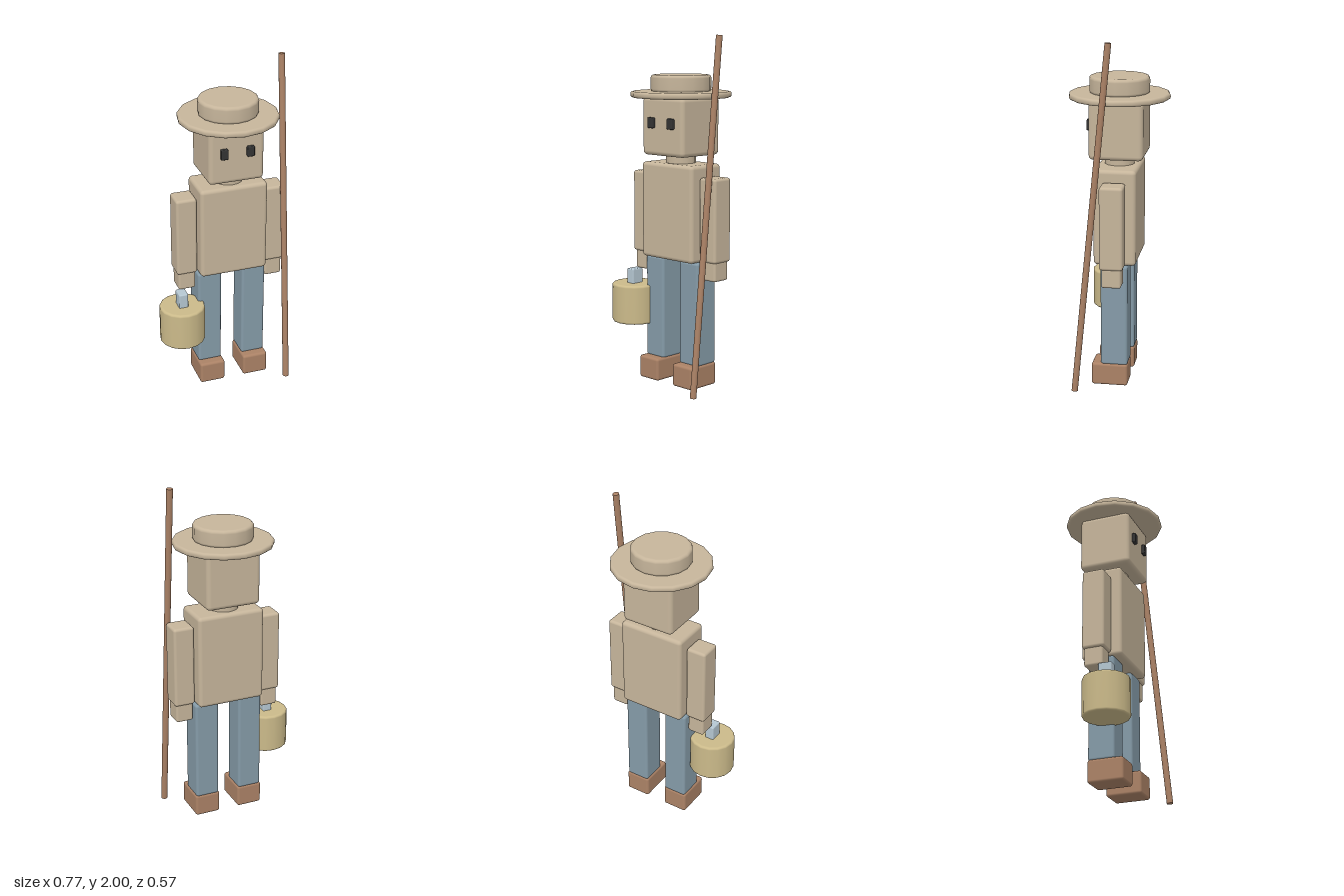
import * as THREE from 'three';
import { RoundedBoxGeometry } from 'three/addons/geometries/RoundedBoxGeometry.js';

const mat = (name, color) => new THREE.MeshStandardMaterial({ name, color });

export function createModel() {
  const tan = mat('tan', 0xc6b59b);
  const denim = mat('denim blue', 0x859ba8);
  const brown = mat('brown', 0xab8266);
  const straw = mat('straw yellow', 0xcbba8a);
  const steel = mat('pale steel', 0xb5c7d2);
  const dark = mat('dark', 0x333333);

  const model = new THREE.Group();
  model.name = 'farmer';
  const cx = 0.055; // body axis; the bucket and staff offset it from the middle

  const add = (name, geometry, material, x, y, z) => {
    const mesh = new THREE.Mesh(geometry, material);
    mesh.name = name;
    mesh.position.set(x, y, z);
    model.add(mesh);
    return mesh;
  };

  // Rounded box standing on y0 and reaching y1
  const box = (name, material, x, y0, y1, z, w, d, r) =>
    add(name, new RoundedBoxGeometry(w, y1 - y0, d, 3, r), material, x, (y0 + y1) / 2, z);

  // Sixteen-sided drum with rounded rims
  const drum = (name, material, x, y0, y1, z, radius, b) => {
    const h = y1 - y0, e = 0.002;
    const pts = [new THREE.Vector2(0, 0), new THREE.Vector2(radius - b - e, 0)];
    for (let i = 0; i <= 4; i++) {
      const a = (i / 4) * Math.PI / 2;
      pts.push(new THREE.Vector2(radius - b + b * Math.sin(a), b - b * Math.cos(a)));
    }
    for (let i = 0; i <= 4; i++) {
      const a = (i / 4) * Math.PI / 2;
      pts.push(new THREE.Vector2(radius - b + b * Math.cos(a), h - b + b * Math.sin(a)));
    }
    pts.push(new THREE.Vector2(radius - b - e, h), new THREE.Vector2(0, h));
    return add(name, new THREE.LatheGeometry(pts, 16), material, x, y0, z);
  };

  // Torso, neck and head
  box('torso', tan, cx, 0.73, 1.28, 0, 0.4, 0.24, 0.022);
  add('neck', new THREE.CylinderGeometry(0.085, 0.085, 0.08, 16), tan, cx, 1.3, 0);
  box('head', tan, cx, 1.325, 1.655, 0, 0.322, 0.305, 0.025);

  // Hat
  drum('hatBrim', tan, cx, 1.65, 1.685, 0, 0.286, 0.014);
  drum('hatCrown', tan, cx, 1.68, 1.778, 0, 0.171, 0.018);

  // Paired parts
  for (const [side, s] of [['right', -1], ['left', 1]]) {
    box(side + 'Eye', dark, cx + s * 0.0765, 1.48, 1.54, 0.158, 0.042, 0.03, 0.006);
    box(side + 'Arm', tan, cx + s * 0.266, 0.74, 1.215, 0, 0.122, 0.132, 0.016);
    box(side + 'Hand', tan, cx + s * 0.266, 0.635, 0.748, 0, 0.102, 0.11, 0.013);
    box(side + 'Leg', denim, cx + s * 0.135, 0.13, 0.73, 0.002, 0.142, 0.154, 0.015);
    box(side + 'Shoe', brown, cx + s * 0.135, 0.005, 0.137, 0.028, 0.152, 0.208, 0.015);
  }

  // Bucket and its grip
  drum('bucket', straw, -0.251, 0.32, 0.55, 0.076, 0.133, 0.013);
  box('bucketHandle', steel, -0.251, 0.53, 0.635, 0.076, 0.055, 0.078, 0.007);

  // Leaning staff
  const foot = new THREE.Vector3(0.359, 0.002, 0.213);
  const tip = new THREE.Vector3(0.359, 1.998, 0.014);
  const dir = tip.clone().sub(foot);
  const mid = foot.clone().add(tip).multiplyScalar(0.5);
  const staff = add('staff', new THREE.CylinderGeometry(0.018, 0.018, dir.length(), 16),
    brown, mid.x, mid.y, mid.z);
  staff.quaternion.setFromUnitVectors(new THREE.Vector3(0, 1, 0), dir.normalize());

  return model;
}
